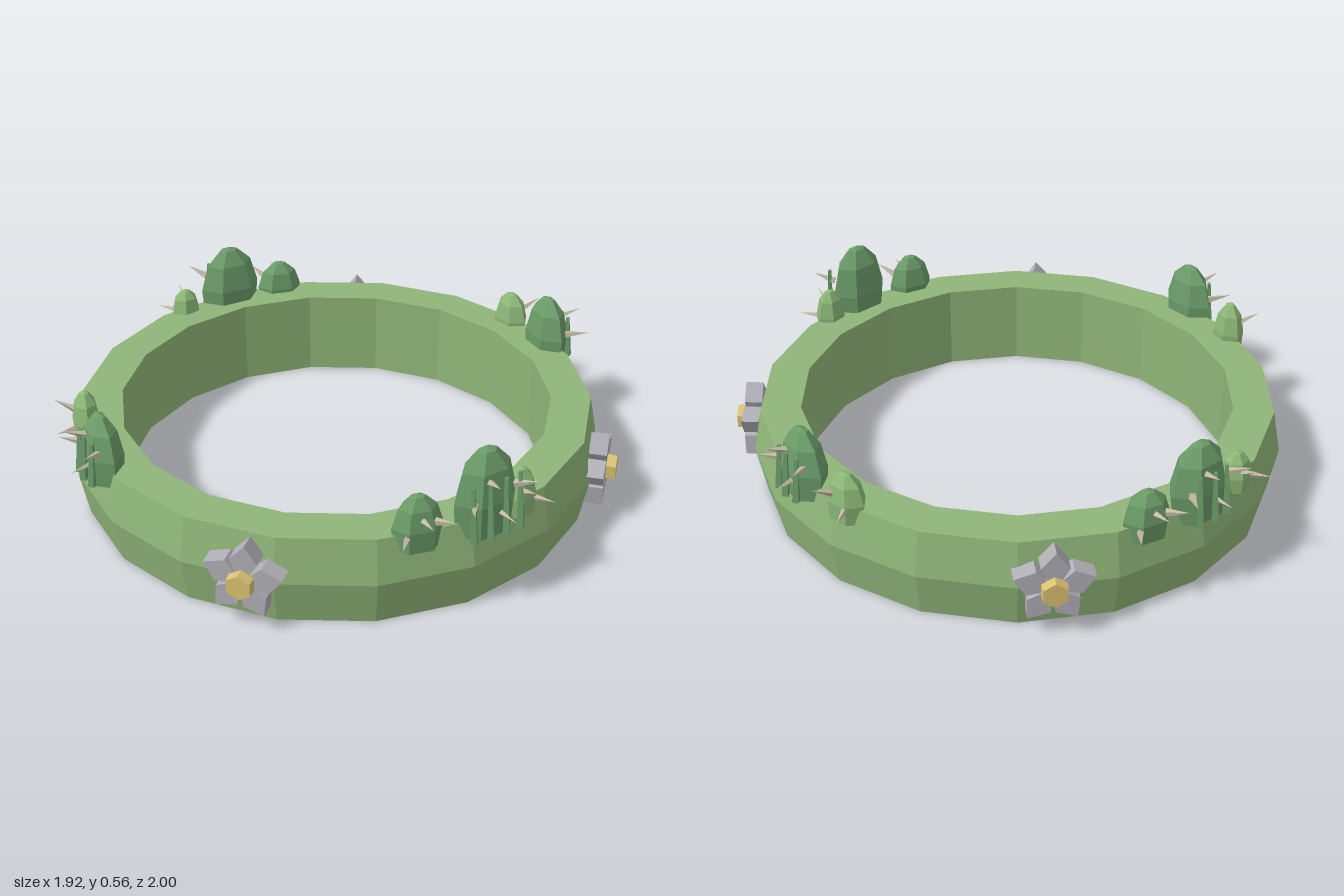
import * as THREE from 'three';

const mat = (color) => new THREE.MeshStandardMaterial({ color, flatShading: true });
const ringMat = mat(0x8fb578), cactusMat = mat(0x6b9c69), paleMat = mat(0x8cb877);
const petalMat = mat(0xb0aeb6), goldMat = mat(0xd9c070), spineMat = mat(0xc4baa6);

const CX = -0.04, CZ = -0.01; // centre of the ring

function add(parent, name, geometry, material) {
  const mesh = new THREE.Mesh(geometry, material);
  mesh.name = name;
  parent.add(mesh);
  return mesh;
}

const lathe = (pts, sides) => new THREE.LatheGeometry(pts.map(([x, y]) => new THREE.Vector2(x, y)), sides);

// Group on the ring whose local +z points outward
function station(name, x, y, z, radius) {
  const g = new THREE.Group();
  g.name = name;
  const a = Math.atan2(x - CX, z - CZ);
  const r = radius ?? Math.hypot(x - CX, z - CZ);
  g.position.set(CX + r * Math.sin(a), y, CZ + r * Math.cos(a));
  g.rotation.y = a;
  return g;
}

// Five-petal flower; turn is the direction of the first petal in degrees
function makeFlower(x, y, z, radius, turn) {
  const flower = station('flower', x, y, z, radius);
  const shape = new THREE.Shape([
    [0.025, -0.018], [0.078, -0.046], [0.136, 0], [0.078, 0.046], [0.025, 0.018],
  ].map(([px, py]) => new THREE.Vector2(px, py)));
  const petalGeo = new THREE.ExtrudeGeometry(shape, { depth: 0.062, bevelEnabled: false });
  for (let i = 0; i < 5; i++) {
    const petal = add(flower, 'petal', petalGeo, petalMat);
    petal.rotation.z = THREE.MathUtils.degToRad(turn + i * 72);
  }
  const heart = add(flower, 'flowerCentre', new THREE.CylinderGeometry(0.045, 0.053, 0.095, 6), goldMat);
  heart.rotation.x = Math.PI / 2;
  heart.position.z = 0.0475;
  return flower;
}

// Cactus: six-sided body stretched along the ring, outer ribs and spines
function makeCactus({ x, z, top, w, d, ribs = 0, pale = false, spines = [] }) {
  const base = 0.26, h = top - base;
  const cactus = station('cactus', x, base, z);
  const bodyMat = pale ? paleMat : cactusMat;
  const body = add(cactus, 'cactusBody',
    lathe([[0, 0], [0.92, 0], [1, h * 0.4], [0.76, h * 0.76], [0.3, h * 0.96], [0, h]], 6), bodyMat);
  body.geometry.rotateY(Math.PI / 6);
  body.scale.set(w, 1, d);
  for (let i = 0; i < ribs; i++) {
    const s = i - (ribs - 1) / 2;
    const rib = add(cactus, 'cactusRib', new THREE.CylinderGeometry(0.008, 0.015, h * 0.66, 4), bodyMat);
    rib.position.set(s * w * 0.5, h * 0.36, d * (1 - Math.abs(s) * 0.1));
    rib.rotation.x = -0.08;
  }
  // each spine: side (-1 to 1), height fraction, upward lean
  for (const [side, t, lean] of spines) {
    const spine = add(cactus, 'spine', new THREE.ConeGeometry(0.014, 0.085, 4), spineMat);
    const dir = new THREE.Vector3(side * 0.7, lean, 1).normalize();
    spine.quaternion.setFromUnitVectors(new THREE.Vector3(0, 1, 0), dir);
    spine.position.set(side * w * 0.7, h * t, d * 0.75).addScaledVector(dir, 0.03);
  }
  return cactus;
}

export function createModel() {
  const model = new THREE.Group();
  model.name = 'cactusRing';

  // Faceted ring with a ridge around the outside
  const ring = add(model, 'ring', lathe(
    [[0.76, 0], [0.9, 0], [0.93, 0.16], [0.9, 0.315], [0.76, 0.315], [0.76, 0]], 18), ringMat);
  ring.position.set(CX, 0, CZ);

  // Flowers: front, left side, back
  model.add(
    makeFlower(-0.13, 0.183, 0.95, 0.912, 85),
    makeFlower(0.9, 0.165, 0.035, 0.907, 96),
    makeFlower(-0.15, 0.18, -0.94, 0.902, 88),
  );

  const three = [[-0.8, 0.3, 0.1], [0.1, 0.6, 0.2], [0.9, 0.55, 0.4]];
  const two = [[-0.5, 0.6, 0.5], [0.6, 0.35, 0]];
  const big = [[-1, 0.45, 0.2], [0.2, 0.28, -0.1], [1, 0.55, 0.4], [-0.3, 0.68, 0.3]];
  [
    // front left cluster
    { x: 0.38, z: 0.76, top: 0.45, w: 0.085, d: 0.058, spines: three },
    { x: 0.57, z: 0.62, top: 0.56, w: 0.12, d: 0.075, ribs: 4, spines: big },
    { x: 0.67, z: 0.51, top: 0.43, w: 0.06, d: 0.05, pale: true, spines: two },
    // front right cluster
    { x: -0.7, z: 0.58, top: 0.5, w: 0.105, d: 0.065, ribs: 3, spines: big },
    { x: -0.83, z: 0.375, top: 0.45, w: 0.065, d: 0.052, pale: true, spines: two },
    // back right cluster
    { x: -0.44, z: -0.79, top: 0.43, w: 0.085, d: 0.06, spines: three },
    { x: -0.61, z: -0.67, top: 0.53, w: 0.12, d: 0.075, ribs: 3, spines: big },
    { x: -0.75, z: -0.53, top: 0.4, w: 0.06, d: 0.05, pale: true, spines: two },
    // back left cluster
    { x: 0.5, z: -0.7, top: 0.43, w: 0.075, d: 0.055, pale: true, spines: two },
    { x: 0.65, z: -0.55, top: 0.5, w: 0.105, d: 0.068, ribs: 3, spines: big },
  ].forEach((c) => model.add(makeCactus(c)));

  return model;
}
